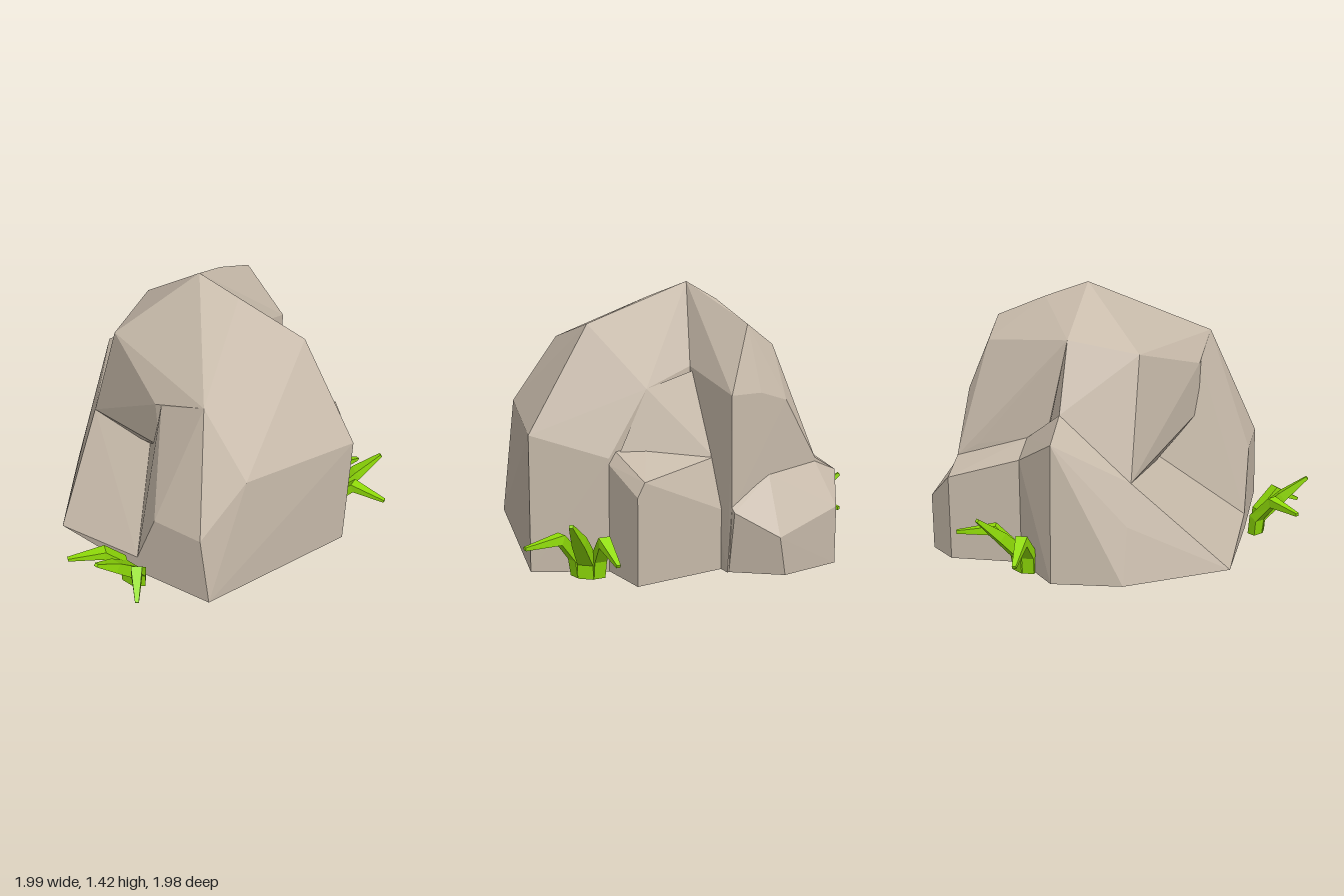
import * as THREE from 'three';
import { ConvexGeometry } from 'three/addons/geometries/ConvexGeometry.js';

const stone = new THREE.MeshStandardMaterial({ color: 0xc6b9a9 });
stone.name = 'warm grey stone';
const leaf = new THREE.MeshStandardMaterial({ color: 0x90dc08 });
leaf.name = 'grass green';

// One faceted lump of stone around a few corner points
function lump(name, corners) {
  const geometry = new ConvexGeometry(corners.map((c) => new THREE.Vector3(...c)));
  const mesh = new THREE.Mesh(geometry, stone);
  mesh.name = name;
  return mesh;
}

// Tapered four-sided blade that follows a bent path
function blade(name, path, widths) {
  const pts = path.map((p) => new THREE.Vector3(...p));
  const n = pts.length - 1;
  const run = pts[n].clone().sub(pts[0]);
  const side = new THREE.Vector3(run.z, 0, -run.x).normalize();
  const geo = new THREE.CylinderGeometry(Math.SQRT2, Math.SQRT2, 1, 4, n, false, Math.PI / 4);
  const pos = geo.attributes.position;
  for (let k = 0; k < pos.count; k++) {
    const i = Math.round((pos.getY(k) + 0.5) * n);
    const tangent = pts[Math.min(i + 1, n)].clone().sub(pts[Math.max(i - 1, 0)]).normalize();
    if (i === 0) tangent.set(0, 1, 0);
    const normal = side.clone().cross(tangent).normalize();
    const p = pts[i].clone()
      .addScaledVector(side, pos.getX(k) * widths[i])
      .addScaledVector(normal, pos.getZ(k) * widths[i] * 0.85);
    pos.setXYZ(k, p.x, p.y, p.z);
  }
  const flat = geo.toNonIndexed();
  flat.computeVertexNormals();
  const mesh = new THREE.Mesh(flat, leaf);
  mesh.name = name;
  return mesh;
}

// Three blades leaning outward along local +z
function grassTuft(name, x, z, angle) {
  const tuft = new THREE.Group();
  tuft.name = name;
  const sideWidths = [0.03, 0.032, 0.03, 0.01];
  tuft.add(
    blade('middleBlade', [[0, 0, 0], [0, 0.09, 0.01], [0, 0.22, 0.135], [0, 0.335, 0.265]], [0.04, 0.04, 0.032, 0.01]),
    blade('longSideBlade', [[-0.05, 0, -0.01], [-0.06, 0.1, 0], [-0.11, 0.215, 0.09], [-0.24, 0.2, 0.235]], sideWidths),
    blade('shortSideBlade', [[0.05, 0, -0.01], [0.06, 0.1, 0], [0.11, 0.21, 0.08], [0.21, 0.135, 0.2]], sideWidths)
  );
  tuft.position.set(x, 0, z);
  tuft.rotation.y = angle;
  return tuft;
}

export function createModel() {
  const model = new THREE.Group();
  model.name = 'boulderWithGrass';

  // Corners shared by neighbouring lumps
  const scoop = [-0.2, 0.55, 0.13];
  const leftEdge = [-0.62, 0.48, 0.15];
  const notch = [0.06, 0.7, 0.38];
  const brow = [0.36, 1.1, 0.39];
  const cheek = [0.63, 0.76, 0.39];
  const rightSide = [[0.52, 1.23, -0.26], [0.86, 0.7, -0.27], [0.86, 0, -0.27]];
  const leftFoot = [[-0.85, 0, -0.21], [-0.8, 0, 0.15], [-0.71, 0.28, 0.15]];
  const ridge = [[-0.49, 1.17, -0.21], [-0.12, 1.42, -0.2]];

  const rock = new THREE.Group();
  rock.name = 'boulder';
  rock.add(
    // Main body up to the peak
    lump('mainBody', [
      ...ridge, ...rightSide, [-0.85, 0, -0.21], [-0.65, 0.82, -0.21], [0.13, 1.35, -0.21],
      leftEdge, scoop, notch, brow, cheek, [-0.43, 1.1, 0.15], [0.04, 0.97, 0.38],
      [0.01, 1, -0.43], [0.3, 0.91, -0.47], [0.52, 0.58, -0.47], [0.52, 0, -0.47], [-0.62, 0, -0.44],
    ]),
    // Front right bulge, undercut at the lower corner
    lump('frontBulge', [
      ...rightSide, brow, cheek, notch, scoop, [0.08, 0.98, 0.38], [0.1, 0, -0.25],
      [0.23, 0.45, 0.64], [0.53, 0.48, 0.64], [0.59, 0.07, 0.64], [0.1, 0.1, 0.64], [0.16, 0, 0.64], [0.1, 0, 0.64],
    ]),
    // Sloping foot at the front left
    lump('frontFoot', [
      ...leftFoot, leftEdge, scoop, [-0.47, 0, 0.64], [0.1, 0, 0.64], [0.1, 0.1, 0.64], [0.1, 0, -0.25],
    ]),
    // Low shoulder on the side
    lump('sideShoulder', [
      ...leftFoot, leftEdge, [-0.81, 0.71, -0.21], [-0.65, 0.82, -0.21],
      [-0.62, 0.56, -0.44], [-0.51, 0.65, -0.43], [-0.62, 0, -0.44], [-0.4, 0, 0],
    ]),
    // Tall buttress at the back, running up to the ridge
    lump('backButtress', [
      ...ridge, [-0.51, 0.65, -0.43], [-0.39, 1.155, -0.43], [-0.15, 1.34, -0.43], [0.01, 1, -0.43],
      [-0.51, 0.6, -0.7], [-0.31, 1.12, -0.7], [-0.15, 1.23, -0.7], [0, 0.9, -0.7],
      [-0.51, 0.53, -0.82], [-0.31, 0.85, -0.82], [-0.15, 0.9, -0.82], [0.03, 0.9, -0.82],
      [0.03, 0.32, -0.83], [0.03, 0, -0.8], [-0.51, 0, -0.82], [0, 0, -0.43], [-0.51, 0, -0.43],
    ]),
    // Shelf beside the buttress
    lump('backShelf', [
      [-0.62, 0.56, -0.44], [-0.51, 0.65, -0.43], [-0.65, 0.45, -0.82], [-0.51, 0.53, -0.82],
      [-0.62, 0, -0.44], [-0.65, 0, -0.82], [-0.4, 0, -0.43], [-0.4, 0, -0.82],
    ]),
    // Low bump behind the buttress
    lump('backBump', [
      [-0.65, 0, -0.82], [-0.53, 0, -0.97], [-0.19, 0, -0.985], [0.02, 0, -0.8],
      [-0.65, 0.45, -0.82], [-0.53, 0.3, -0.97], [-0.15, 0.2, -0.99], [0.03, 0.32, -0.855],
      [0.03, 0.35, -0.82], [-0.51, 0.51, -0.82], [-0.2, 0.48, -0.83],
    ]),
    // Low slab with a sloping ledge in the other back corner
    lump('backSlab', [
      [0.52, 0, -0.47], [0.52, 0, -0.74], [0, 0, -0.74], [0, 0, -0.4],
      [0.52, 0.55, -0.47], [0.52, 0.44, -0.74], [0.48, 0.61, -0.47], [0.48, 0.51, -0.74],
      [0.3, 0.63, -0.47], [0, 0.56, -0.64], [0, 0.3, -0.74],
    ]),
    // Steep wall between the ledge and the buttress
    lump('backWall', [
      [0.3, 0.91, -0.47], [0, 0.98, -0.45], [0.46, 0.61, -0.48], [0, 0.55, -0.65],
      [0, 0.4, -0.64], [0, 0.4, -0.35], [0.4, 0.4, -0.44],
    ])
  );
  model.add(rock);

  // Grass around the foot of the boulder
  model.add(
    grassTuft('frontGrass', 0.12, 0.715, 0),
    grassTuft('leftGrass', 0.655, -0.485, Math.PI * 0.75),
    grassTuft('rightGrass', -0.71, -0.405, -2.18)
  );
  return model;
}
